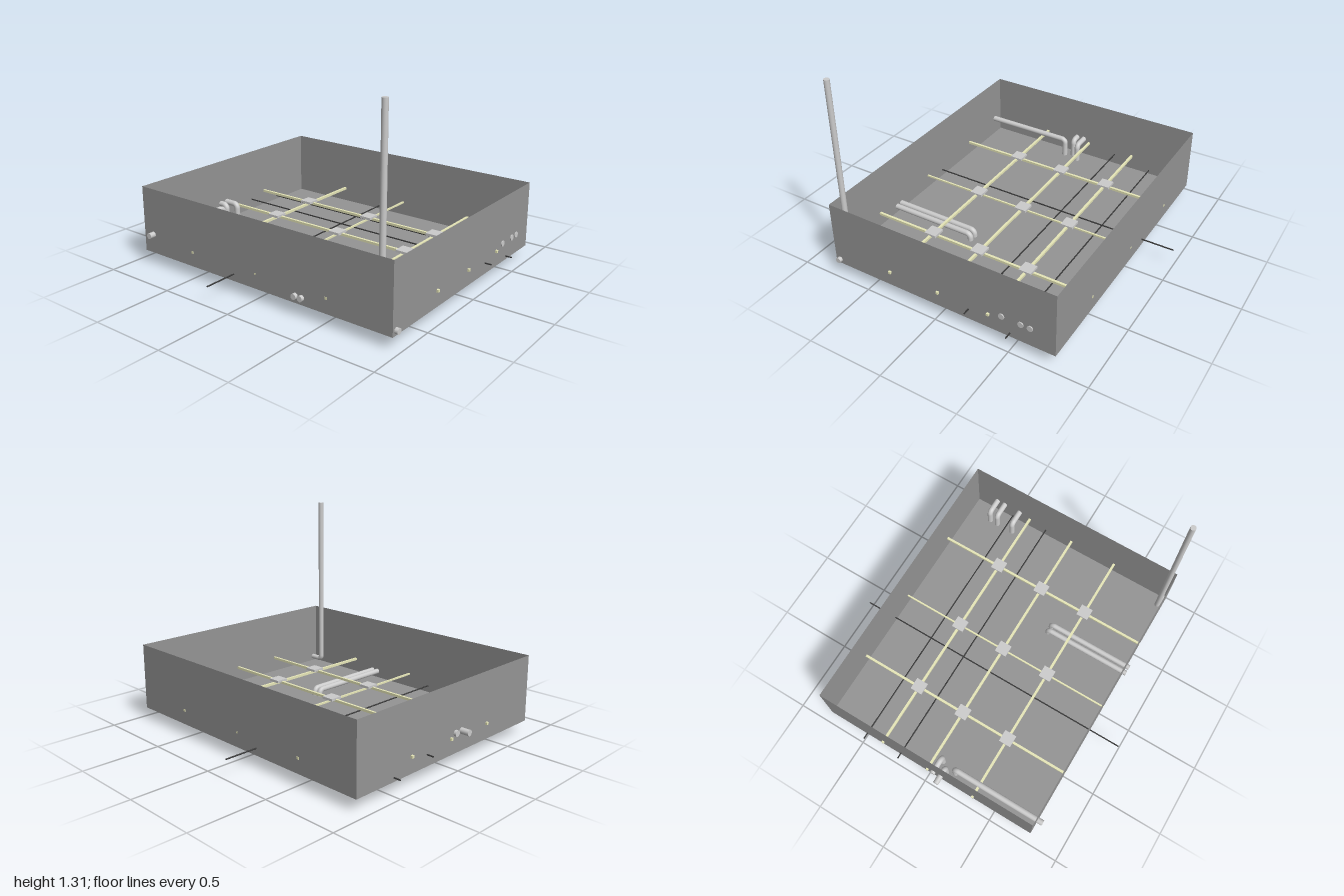
import * as THREE from 'three';

export function createModel() {
  const model = new THREE.Group();
  const grey = new THREE.MeshStandardMaterial({ color: 0xcccccc });
  const shell = new THREE.MeshStandardMaterial({ color: 0x949494, side: THREE.DoubleSide });
  const cream = new THREE.MeshStandardMaterial({ color: 0xe6e6b8 });
  const dark = new THREE.MeshStandardMaterial({ color: 0x383838 });
  const ZC = 0.008, FLOOR = 0.075; // tray centre in z, floor height

  const add = (name, geometry, material, x, y, z, parent = model) => {
    const mesh = new THREE.Mesh(geometry, material);
    mesh.name = name;
    mesh.position.set(x, y, z);
    parent.add(mesh);
    return mesh;
  };

  // Open-topped tray: a box without its top face
  const tray = new THREE.BoxGeometry(1.552, 0.43, 1.898);
  const index = Array.from(tray.index.array);
  index.splice(12, 6);
  tray.setIndex(index);
  tray.clearGroups();
  add('tray', tray, shell, 0, FLOOR + 0.215, ZC);

  // Grid of square bars with a plate on every crossing
  for (const i of [-1, 0, 1]) {
    const x = i * 0.345, z = ZC + i * 0.517;
    add('lengthBar', new THREE.BoxGeometry(0.016, 0.016, 1.925), cream, x, 0.177, ZC);
    const t = i === 0 ? 0.011 : 0.016;
    add('crossBar', new THREE.BoxGeometry(1.556, t, t), cream, 0, 0.168, z);
    for (const j of [-1, 0, 1]) {
      add('crossingPlate', new THREE.BoxGeometry(0.083, 0.016, 0.083), grey, j * 0.345, 0.187, z);
    }
  }

  // Thin dark rods passing through the walls
  const rod = new THREE.CylinderGeometry(0.0045, 0.0045, 1.985, 8);
  add('crossRod', rod, dark, 0, 0.12, -0.162).rotation.z = Math.PI / 2;
  add('lengthRod', rod, dark, 0.21, 0.146, ZC).rotation.x = Math.PI / 2;
  add('lengthRod', rod, dark, 0.485, 0.099, ZC).rotation.x = Math.PI / 2;

  // Pipe: runs inward from its outer end, then bends down (or up if flipped)
  const R = 0.028;
  const pipe = (name, [x, y, z], run, drop, turn, r = 0.019, flip = false) => {
    const group = new THREE.Group();
    group.name = name;
    group.position.set(x, y, z);
    group.rotation.set(flip ? Math.PI : 0, turn, 0);
    const tube = (length) => new THREE.CylinderGeometry(r, r, length, 20);
    add('pipeRun', tube(run - R), grey, (run - R) / 2, 0, 0, group).rotation.z = Math.PI / 2;
    add('pipeElbow', new THREE.TorusGeometry(R, r, 20, 8, Math.PI / 2), grey, run - R, -R, 0, group);
    add('pipeLeg', tube(drop - R), grey, run, -(drop + R) / 2, 0, group);
    model.add(group);
  };
  const Q = Math.PI / 2;

  // Tall riser in the front corner
  pipe('riserPipe', [-0.745, 0.105, 0.978], 0.113, 1.205, -Q, 0.018, true);
  // Three short pipes at the front wall
  for (const x of [0.432, 0.556, 0.616]) pipe('frontPipe', [x, 0.2, 0.963], 0.113, 0.125, Q);
  // Long pipe by the back wall and two short ones beside it
  pipe('longPipe', [-0.815, 0.2, -0.86], 0.657, 0.125, 0);
  pipe('backPipe', [-0.1, 0.2, -1], 0.115, 0.125, -Q);
  pipe('backPipe', [-0.045, 0.2, -0.957], 0.119, 0.125, -Q);
  // Pair of drain pipes leaving through the floor
  for (const z of [0.309, 0.355]) pipe('drainPipe', [-0.797, 0.12, z], 0.612, 0.12, 0, 0.018);

  return model;
}
